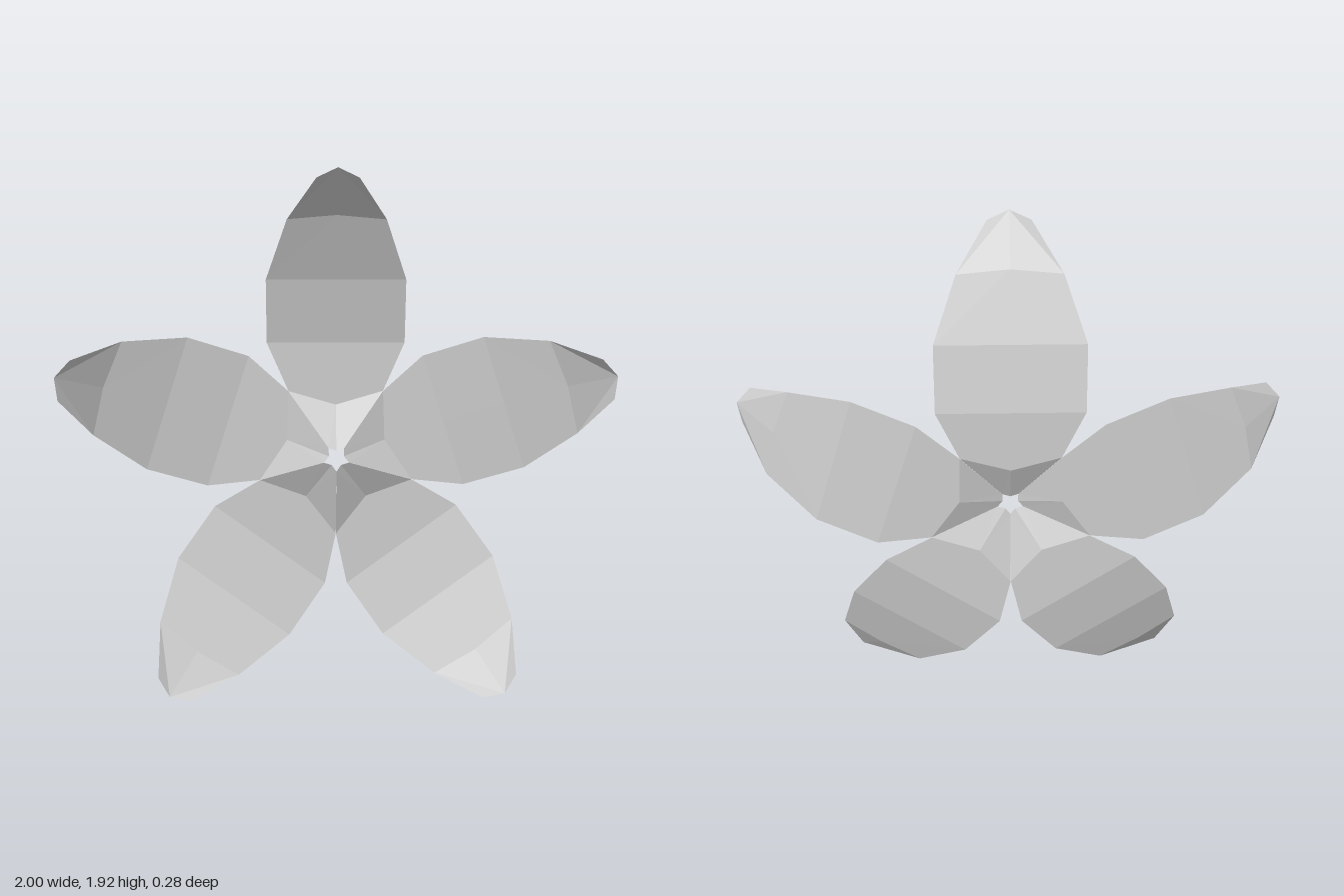
import * as THREE from 'three';

// Petal rows from the heart of the flower to the tip:
// [radius at midrib, z at midrib, radius at edge, half width, z at edge]
const ROWS = [
  [0.03, -0.06, 0.04, 0.029, -0.06],
  [0.195, -0.14, 0.247, 0.179, -0.14],
  [0.43, -0.14, 0.43, 0.26, -0.14],
  [0.665, -0.09, 0.665, 0.26, -0.09],
  [0.895, 0.005, 0.88, 0.18, 0],
  [1.05, 0.14, 1.015, 0.075, 0.14],
];

// Folded strip with a midrib and two mirrored edges
function petalGeometry() {
  const positions = [];
  const index = [];
  for (const [rMid, zMid, rEdge, w, zEdge] of ROWS) {
    positions.push(-w, rEdge, zEdge, 0, rMid, zMid, w, rEdge, zEdge);
  }
  for (let i = 0; i < ROWS.length - 1; i++) {
    const a = i * 3, b = a + 3;
    // left half, then right half, with mirrored diagonals
    index.push(a, a + 1, b + 1, a, b + 1, b);
    index.push(a + 1, a + 2, b + 1, a + 2, b + 2, b + 1);
  }
  const indexed = new THREE.BufferGeometry();
  indexed.setAttribute('position', new THREE.Float32BufferAttribute(positions, 3));
  indexed.setIndex(index);
  const geometry = indexed.toNonIndexed();
  geometry.computeVertexNormals();
  return geometry;
}

export function createModel() {
  const flower = new THREE.Group();
  flower.name = 'flower';
  const petalGrey = new THREE.MeshStandardMaterial({
    color: 0xcccccc, flatShading: true, side: THREE.DoubleSide,
  });
  petalGrey.name = 'petalGrey';

  // Five petals around the open centre
  const geometry = petalGeometry();
  for (let i = 0; i < 5; i++) {
    const petal = new THREE.Mesh(geometry, petalGrey);
    petal.name = `petal${i + 1}`;
    petal.position.y = 0.865;
    petal.rotation.z = (i * Math.PI * 2) / 5;
    flower.add(petal);
  }
  return flower;
}
